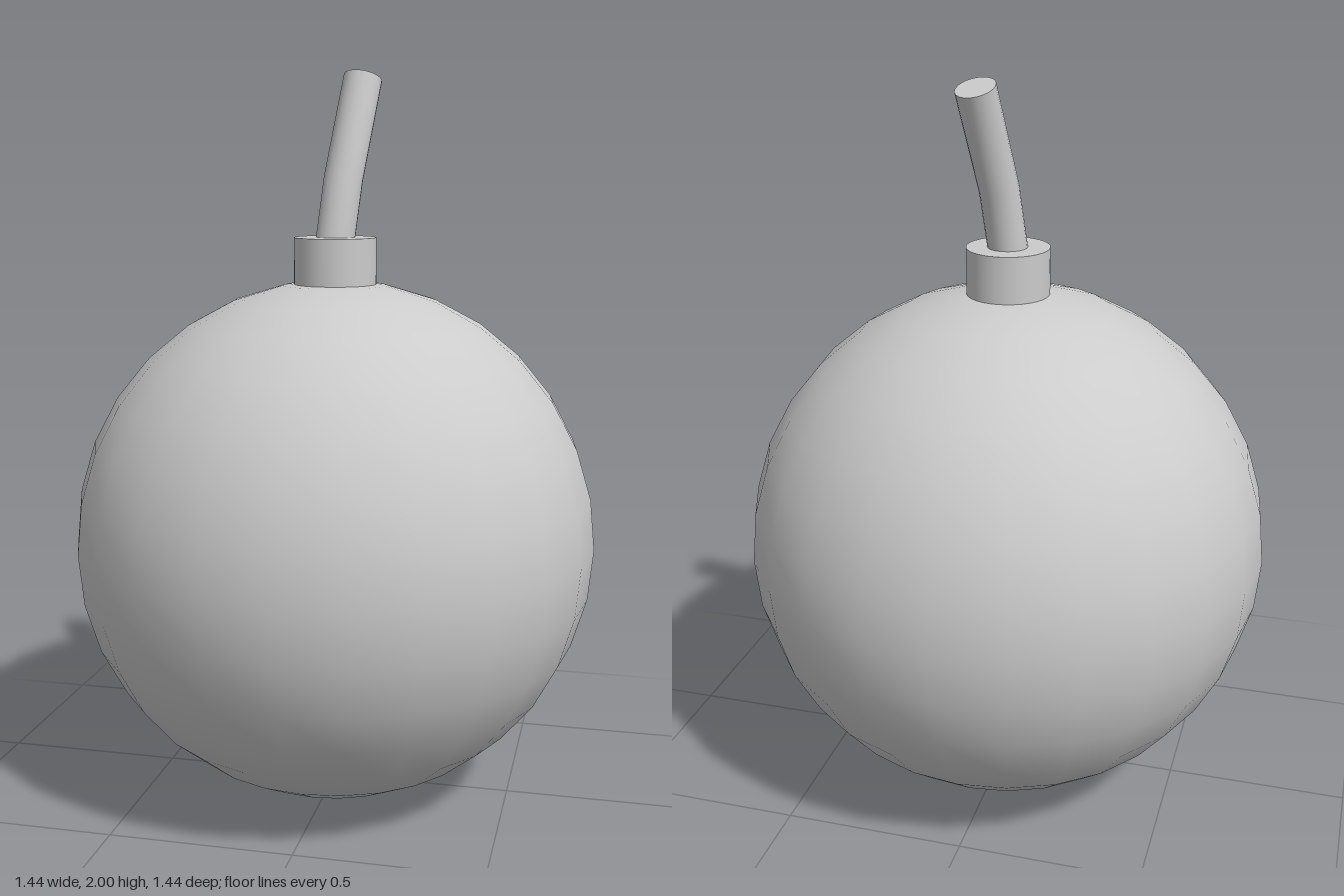
import * as THREE from 'three';
import { toCreasedNormals } from 'three/addons/utils/BufferGeometryUtils.js';

export function createModel() {
  const group = new THREE.Group();
  const material = new THREE.MeshStandardMaterial({ color: 0xcccccc });
  const add = (name, geometry, y = 0) => {
    const mesh = new THREE.Mesh(geometry, material);
    mesh.name = name;
    mesh.position.y = y;
    group.add(mesh);
  };

  // Round body
  add('body', new THREE.SphereGeometry(0.72, 24, 16), 0.72);

  // Short collar, sunk slightly into the body
  add('collar', new THREE.CylinderGeometry(0.112, 0.112, 0.135, 32), 1.4875);

  // Bent fuse: each ring of a cylinder is moved to a centre and tilted to an axis
  const rings = [
    { y: -0.5, centre: [-0.005, 1.5, 0.005], axis: [0.1, 1, -0.1] },
    { y: 0, centre: [0.018, 1.71, -0.021], axis: [0.1, 1, -0.24] },
    { y: 0.5, centre: [0.05, 1.98, -0.122], axis: [0.12, 1, -0.375] },
  ];
  const up = new THREE.Vector3(0, 1, 0);
  const fuse = new THREE.CylinderGeometry(0.053, 0.053, 1, 20, 2);
  const pos = fuse.attributes.position;
  const v = new THREE.Vector3();
  for (let i = 0; i < pos.count; i++) {
    v.fromBufferAttribute(pos, i);
    const ring = rings[Math.round((v.y + 0.5) * 2)];
    const axis = new THREE.Vector3(...ring.axis).normalize();
    const tilt = new THREE.Quaternion().setFromUnitVectors(up, axis);
    v.setY(0).applyQuaternion(tilt).add(new THREE.Vector3(...ring.centre));
    pos.setXYZ(i, v.x, v.y, v.z);
  }
  add('fuse', toCreasedNormals(fuse, Math.PI / 4));

  return group;
}
